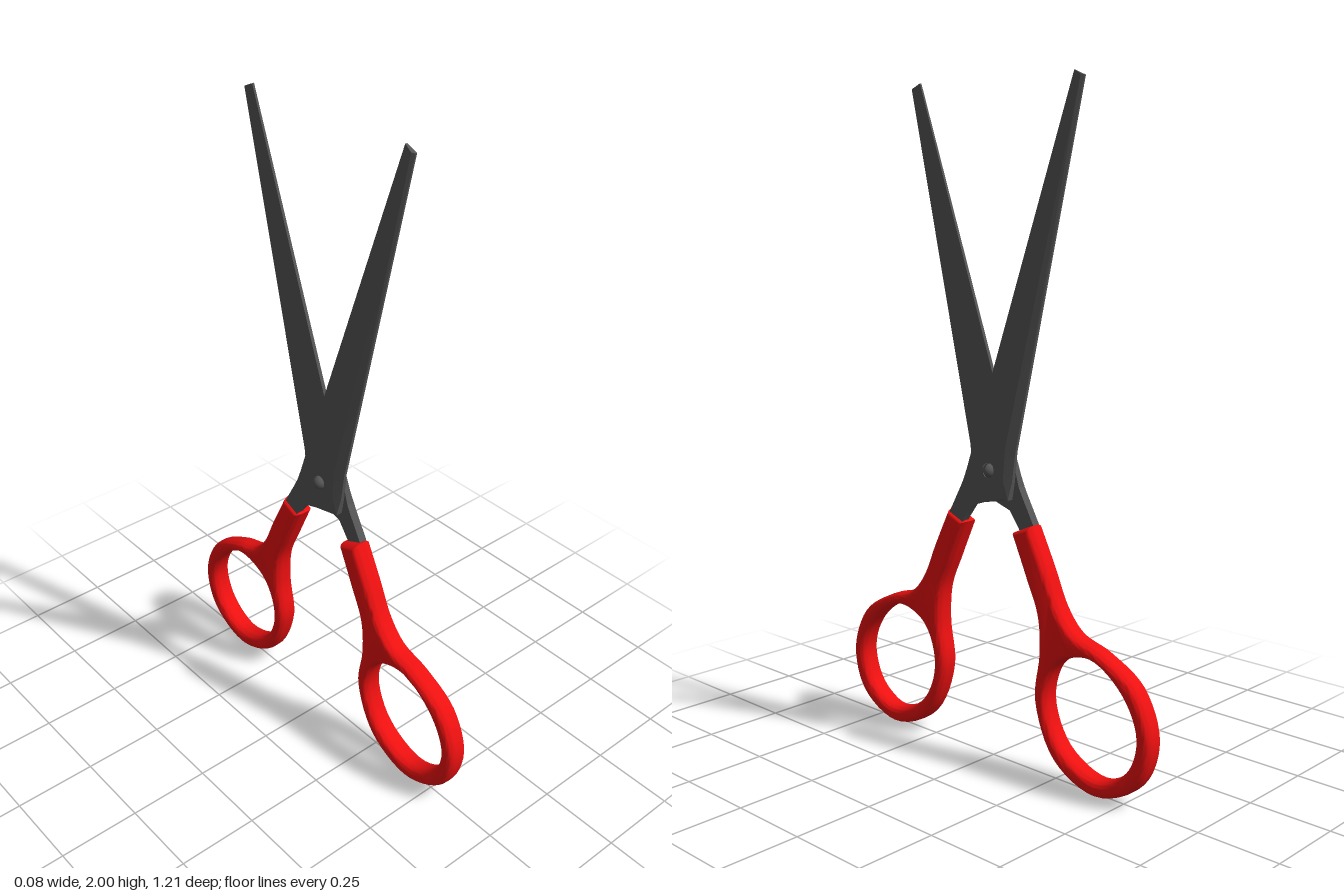
import * as THREE from 'three';
import { toCreasedNormals } from 'three/addons/utils/BufferGeometryUtils.js';

const steel = new THREE.MeshStandardMaterial({ color: 0x555555 });
const steelThin = new THREE.MeshStandardMaterial({ color: 0x555555, side: THREE.DoubleSide });
const red = new THREE.MeshStandardMaterial({ color: 0xee1010 });

function add(parent, name, geometry, material) {
  const mesh = new THREE.Mesh(geometry, material);
  mesh.name = name;
  parent.add(mesh);
  return mesh;
}

function smoothLoop(points, closed, count) {
  const curve = new THREE.CatmullRomCurve3(points.map(([x, y]) => new THREE.Vector3(x, y, 0)), closed);
  return curve.getPoints(count).map((p) => new THREE.Vector2(p.x, p.y));
}

// Blade and tang: cross-sections from tip to tang, flat on the inside (z = 0).
// Row: cutting edge x, y, spine x, y, thickness, spine bevel width, edge and spine thickness ratios
function bladeGeometry() {
  const rows = [
    [0.30, 2.0, 0.335, 1.985, 0.013, 0.2, 0.5, 0.4],
    [-0.06, 0.985, 0.095, 0.95, 0.025, 0.17, 0.5, 0.35],
    [-0.09, 0.88, 0.085, 0.86, 0.025, 0.14, 0.8, 0.5],
    [-0.10, 0.845, 0.075, 0.805, 0.025, 0.1, 1, 0.8],
    [-0.113, 0.82, -0.01, 0.79, 0.025, 0.1, 1, 1],
    [-0.13, 0.79, -0.065, 0.772, 0.025, 0.1, 1, 1],
    [-0.155, 0.745, -0.10, 0.725, 0.025, 0.1, 1, 1],
    [-0.18, 0.69, -0.13, 0.67, 0.025, 0.1, 1, 1],
  ];
  const n = 5, position = [], index = [];
  for (const [lx, ly, rx, ry, t, bevel, edge, spine] of rows) {
    const cx = rx + (lx - rx) * bevel, cy = ry + (ly - ry) * bevel;
    position.push(lx, ly, 0, rx, ry, 0, rx, ry, t * spine, cx, cy, t, lx, ly, t * edge);
  }
  for (let r = 0; r < rows.length - 1; r++) {
    for (let i = 0; i < n; i++) {
      const a = r * n + i, b = r * n + (i + 1) % n;
      index.push(a, b, a + n, b, b + n, a + n);
    }
  }
  const last = (rows.length - 1) * n;
  for (let i = 1; i < n - 1; i++) {
    index.push(0, i + 1, i, last, last + i, last + i + 1);
  }
  const geometry = new THREE.BufferGeometry();
  geometry.setAttribute('position', new THREE.Float32BufferAttribute(position, 3));
  geometry.setIndex(index);
  return toCreasedNormals(geometry, 0.15);
}

// Finger ring and sleeve in one rounded extrusion
function handleGeometry() {
  const outer = smoothLoop([
    [-0.165, 0.745], [-0.225, 0.625], [-0.275, 0.52], [-0.33, 0.46], [-0.43, 0.425],
    [-0.55, 0.35], [-0.605, 0.21], [-0.56, 0.075], [-0.415, 0.005], [-0.262, 0.07],
    [-0.187, 0.235], [-0.203, 0.38], [-0.195, 0.49], [-0.15, 0.595], [-0.095, 0.715],
  ], false, 84);
  const hole = smoothLoop([
    [-0.39, 0.40], [-0.507, 0.325], [-0.556, 0.215], [-0.52, 0.108],
    [-0.42, 0.055], [-0.287, 0.112], [-0.23, 0.24], [-0.272, 0.36],
  ], true, 48);
  hole.pop();
  const shape = new THREE.Shape(outer);
  shape.holes.push(new THREE.Path(hole));
  const bevel = 0.018, round = 0.027, half = 0.035;
  const geometry = new THREE.ExtrudeGeometry(shape, {
    depth: 2 * (half - round), bevelEnabled: true, bevelSegments: 6,
    bevelSize: bevel, bevelOffset: -bevel, bevelThickness: round,
  });
  geometry.translate(0, 0, round - half);
  return toCreasedNormals(geometry, 0.9);
}

export function createModel() {
  const model = new THREE.Group();
  model.name = 'scissors';

  // Two identical halves, turned half a circle about the vertical axis
  const blade = bladeGeometry(), handle = handleGeometry();
  for (let i = 0; i < 2; i++) {
    const half = new THREE.Group();
    half.name = i ? 'rightHalf' : 'leftHalf';
    add(half, 'blade', blade, steel);
    add(half, 'handle', handle, red);
    half.rotation.y = Math.PI / 2 + i * Math.PI;
    model.add(half);
  }

  // Pivot screw: shaft, domed rivet head and slotted head
  const screw = new THREE.Group();
  screw.name = 'pivotScrew';
  screw.position.y = 0.885;
  model.add(screw);
  const shaft = add(screw, 'screwShaft', new THREE.CylinderGeometry(0.018, 0.018, 0.054, 20), steel);
  shaft.rotation.z = Math.PI / 2;
  const dome = add(screw, 'rivetHead', new THREE.SphereGeometry(0.021, 20, 8, 0, Math.PI * 2, 0, Math.PI / 2), steel);
  dome.rotation.z = Math.PI / 2;
  dome.position.x = -0.021;
  for (const side of [1, -1]) {
    const start = side > 0 ? 0 : Math.PI;
    const part = add(screw, 'slottedHead', new THREE.SphereGeometry(0.021, 12, 8, start, Math.PI, 0, Math.PI / 2), steelThin);
    part.rotation.z = -Math.PI / 2;
    part.scale.z = 0.86;
    part.position.set(0.021, 0, side * 0.003);
  }
  return model;
}
